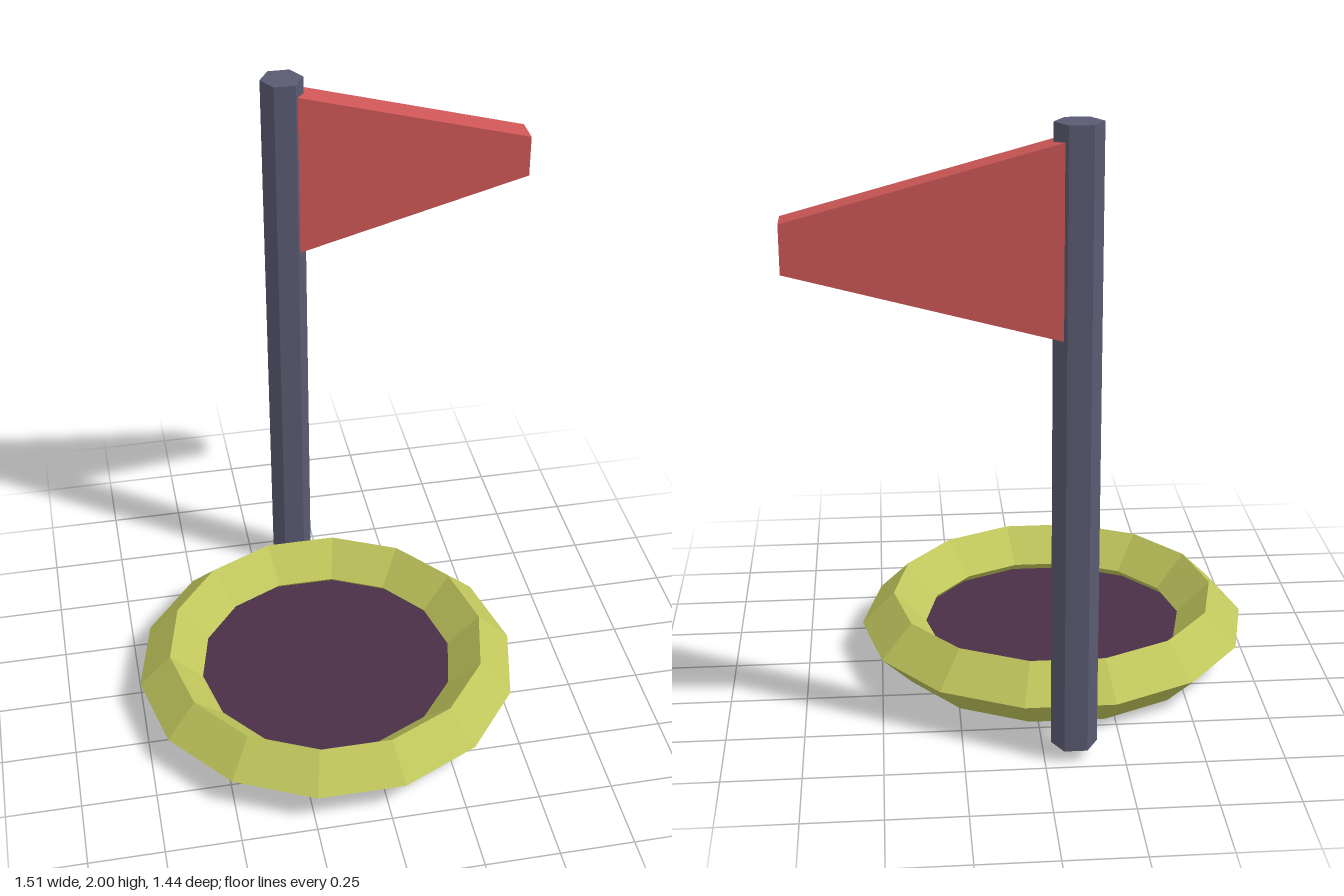
import * as THREE from 'three';

const material = (name, color, extra = {}) => {
  const m = new THREE.MeshStandardMaterial({ color, flatShading: true, ...extra });
  m.name = name;
  return m;
};

export function createModel() {
  const group = new THREE.Group();
  group.name = 'flagHole';

  const olive = material('olive', 0xc0c65c);
  const plum = material('plum', 0x4a2f47, { side: THREE.DoubleSide });
  const slate = material('slate', 0x5a5a72);
  const red = material('red', 0xcc5656);

  const add = (name, geometry, mat, x, y, z) => {
    const mesh = new THREE.Mesh(geometry, mat);
    mesh.name = name;
    mesh.position.set(x, y, z);
    group.add(mesh);
  };

  const cx = -0.095, ringZ = 0.075, poleZ = -0.66;

  // Faceted ring with a diamond cross-section
  add('rim', new THREE.TorusGeometry(0.55, 0.11, 4, 14).rotateX(Math.PI / 2), olive, cx, 0.11, ringZ);

  // Dark floor whose edge is buried in the ring
  add('holeFloor', new THREE.CircleGeometry(0.5, 14).rotateX(-Math.PI / 2), plum, cx, 0.08, ringZ);

  // Six-sided pole with corners towards the left and right
  add('pole', new THREE.CylinderGeometry(0.0725, 0.0725, 1.96, 6).rotateY(Math.PI / 6), slate, cx, 1.02, poleZ);

  // Thick tapered flag
  const outline = new THREE.Shape([
    [-0.052, 1.37], [0.75, 1.587], [0.75, 1.733], [-0.052, 1.95],
  ].map(([x, y]) => new THREE.Vector2(x, y)));
  const flag = new THREE.ExtrudeGeometry(outline, { depth: 0.098, bevelEnabled: false });
  add('flag', flag, red, 0, 0, poleZ - 0.049);

  return group;
}
